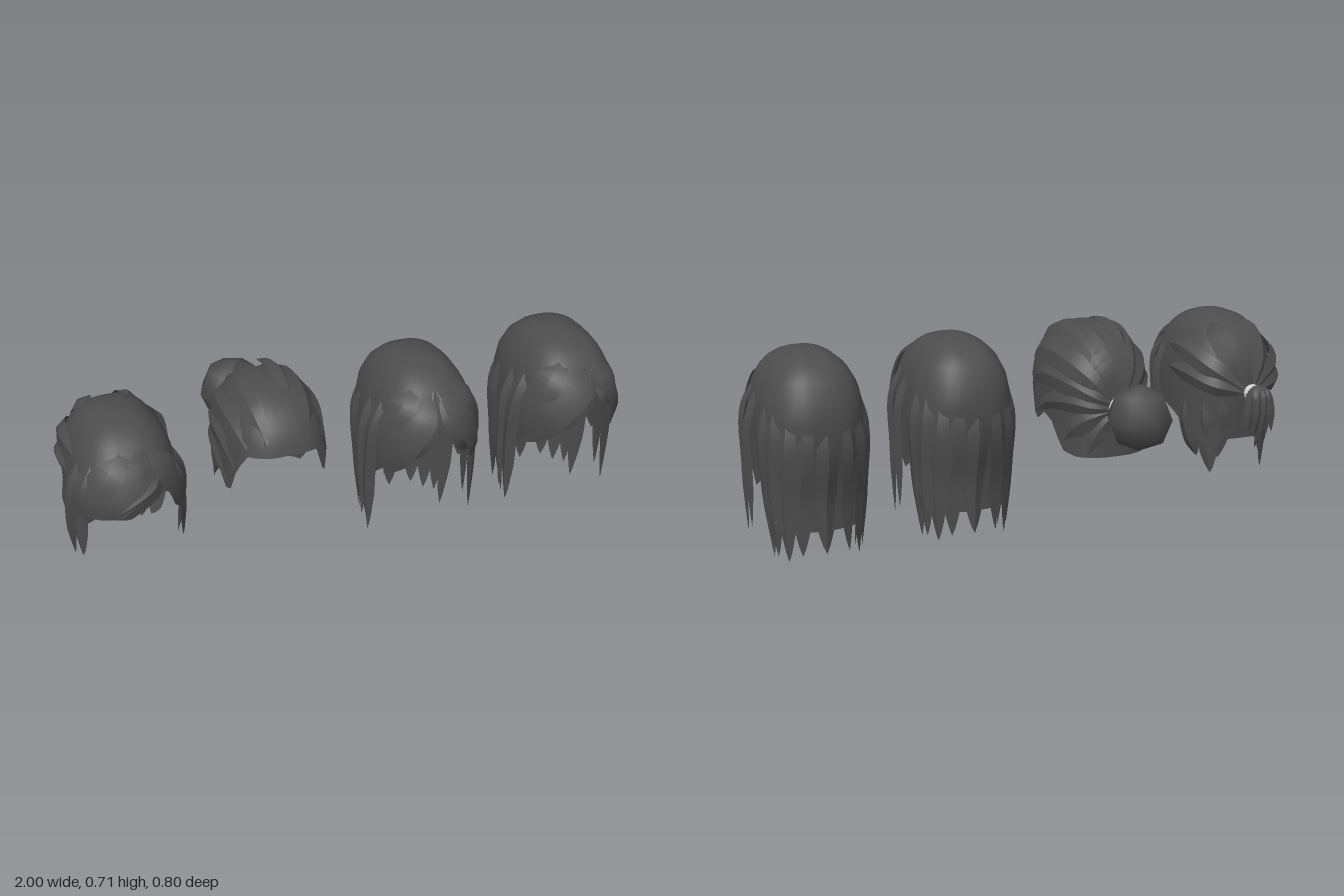
import * as THREE from 'three';
import { mergeVertices, toCreasedNormals } from 'three/addons/utils/BufferGeometryUtils.js';

const hair = new THREE.MeshStandardMaterial({ color: 0x4c4c4c, side: THREE.DoubleSide });
const band = new THREE.MeshStandardMaterial({ color: 0xcccccc });
const CY = 0.46, RY = 0.245, CZ = 0.12, E = 0.87;
const pw = (v, e) => Math.sign(v) * Math.pow(Math.abs(v), e);

// Arc parameter from the crown (0) past the widest ring (PI/2) down the hanging hair
const arcOf = (y) => (y >= CY
  ? Math.acos(Math.min(1, Math.pow((y - CY) / RY, 1 / E)))
  : Math.PI / 2 + (CY - y) / RY);

// Point on the head: angle in degrees from the front towards +x
function surf(head, deg, k, off = 0) {
  const t = deg * Math.PI / 180, c = Math.cos(t), s = Math.sin(t);
  const up = k < Math.PI / 2, drop = up ? 0 : k - Math.PI / 2;
  const r = up ? Math.pow(Math.max(0, Math.sin(k)), E) : 1;
  const y = up ? CY + RY * Math.pow(Math.max(0, Math.cos(k)), E) : CY - RY * drop;
  const tuck = c > 0 ? 1 - 0.4 * Math.min(0.7, drop) * c : 1 + head.tuck * Math.min(1, drop) * c;
  const p = new THREE.Vector3(
    head.rx * pw(s, 0.77) * r, y,
    CZ + (c > 0 ? head.front : head.back) * pw(c, 0.77) * r * tuck);
  return p.addScaledVector(outward(p), off);
}

function outward(p) {
  return new THREE.Vector3(p.x / 0.034, Math.max(0, p.y - CY) / 0.058, (p.z - CZ) / 0.065 + 1e-5).normalize();
}

function build(pos, idx) {
  const g = new THREE.BufferGeometry();
  g.setAttribute('position', new THREE.Float32BufferAttribute(pos, 3));
  g.setIndex(idx);
  return g;
}

function add(group, name, geo, mat = hair) {
  const m = new THREE.Mesh(geo, mat);
  m.name = name;
  group.add(m);
  return m;
}

// Scalp shell whose lower edge follows hem points [angle, height], mirrored left to right
function cap(head, hem) {
  const pos = [], idx = [], N = 40, M = 10;
  for (let i = 0; i < N; i++) {
    const deg = i * 360 / N, a = deg > 180 ? 360 - deg : deg;
    let j = 1;
    while (j < hem.length - 1 && hem[j][0] < a) j++;
    const [a0, y0] = hem[j - 1], [a1, y1] = hem[j];
    const end = arcOf(y0 + (y1 - y0) * (a - a0) / (a1 - a0));
    for (let r = 0; r <= M; r++) {
      pos.push(...surf(head, deg, end * r / M).toArray());
      if (r === M) continue;
      const p = i * (M + 1) + r, q = ((i + 1) % N) * (M + 1) + r;
      if (r) idx.push(p, p + 1, q);
      idx.push(p + 1, q + 1, q);
    }
  }
  const g = mergeVertices(build(pos, idx), 1e-4);
  g.computeVertexNormals();
  return g;
}

// Flat lock with a raised ridge along a path, narrow at the root and pointed at the tip
function ribbon(points, width, thick, normalAt = outward) {
  const curve = new THREE.CatmullRomCurve3(points), n = 18, pos = [], idx = [];
  for (let i = 0; i <= n; i++) {
    const s = i / n, p = curve.getPoint(s), T = curve.getTangent(s), N = normalAt(p);
    const S = T.clone().cross(N).normalize();
    N.crossVectors(S, T).normalize();
    const f = Math.max(0.01, Math.min(1, 0.15 + s * 2.6, Math.pow((1 - s) / 0.24, 0.75)));
    const w = width * f, h = thick * f;
    for (const [u, v] of [[-w, -h], [0, h], [w, -h], [0, -h * 0.6]])
      pos.push(...p.clone().addScaledVector(S, -u).addScaledVector(N, v).toArray());
    if (i < n) for (let j = 0; j < 4; j++) {
      const a = i * 4 + (3 - j), b = i * 4 + (3 - (j + 1) % 4);
      idx.push(a, b, b + 4, a, b + 4, a + 4);
    }
  }
  return toCreasedNormals(build(pos, idx), 0.6);
}

// Locks given as [half width, [angle, height, lift], ...], rooted at the scalp; both = true mirrors them
function locks(group, name, head, list, both = true) {
  for (const side of both ? [1, -1] : [1])
    for (const [w, ...path] of list)
      add(group, name, ribbon(path.map(([d, y, o], i) => surf(head, d * side, arcOf(y), o ?? (i ? 0.009 : -0.004))), w, 0.008));
}

function wig(name, x) {
  const g = new THREE.Group();
  g.name = name;
  g.position.x = x;
  return g;
}

// Long loose hair, shared by two of the styles
function longHair(name, x) {
  const g = wig(name, x), head = { rx: 0.18, front: 0.25, back: 0.245, tuck: 0.2 };
  add(g, 'scalp', cap(head, [[0, 0.6], [20, 0.52], [45, 0.47], [65, 0.4], [80, 0.3], [90, 0.24],
    [96, 0.3], [108, 0.2], [126, 0.12], [180, 0.11]]));
  locks(g, 'sideLock', head, [
    [0.037, [66, 0.67], [74, 0.5, 0.018], [77, 0.3, 0.024], [78, 0.06, 0.018]],
    [0.034, [88, 0.66], [88, 0.48, 0.018], [88, 0.3, 0.022], [88, 0.09, 0.016]],
    [0.042, [112, 0.64], [106, 0.45, 0.01], [103, 0.25, -0.005], [101, 0.0, -0.035]],
  ]);
  locks(g, 'backLock', head, [
    [0.042, [126, 0.64], [122, 0.45, 0.006], [120, 0.25, 0.002], [120, 0.02, -0.015]],
    [0.038, [142, 0.64], [141, 0.42, 0.008], [140, 0.2, 0.004], [140, 0.01, -0.006]],
    [0.036, [160, 0.66], [160, 0.42, 0.005], [159, 0.2, 0.004], [159, 0.03, 0]],
  ]);
  locks(g, 'backCentreLock', head, [[0.038, [180, 0.64], [180, 0.4, 0.008], [180, 0.2, 0.006], [180, 0.03, 0]]], false);
  return { g, head };
}

function curtainStyle() {
  const { g, head } = longHair('longHairCurtainFringe', 0.25);
  locks(g, 'fringeLock', head, [
    [0.06, [3, 0.67], [18, 0.57, 0.014], [38, 0.47, 0.016], [56, 0.33, 0.012]],
    [0.055, [15, 0.69], [40, 0.6], [58, 0.48, 0.012], [69, 0.32, 0.01]],
    [0.04, [1, 0.64, 0], [8, 0.56], [18, 0.49], [34, 0.4, 0.005]],
  ]);
  return g;
}

function sideStyle() {
  const { g, head } = longHair('longHairSideFringe', 0.785);
  locks(g, 'sweptFringeLock', head, [
    [0.065, [14, 0.66], [-6, 0.57, 0.014], [-32, 0.48, 0.016], [-55, 0.34, 0.012]],
    [0.055, [0, 0.69], [-35, 0.6], [-56, 0.48, 0.012], [-68, 0.32, 0.01]],
    [0.045, [12, 0.62, 0], [0, 0.54], [-14, 0.48], [-34, 0.4, 0.005]],
    [0.055, [14, 0.67], [28, 0.58, 0.014], [46, 0.48, 0.016], [60, 0.33, 0.012]],
    [0.025, [10, 0.57], [20, 0.53], [30, 0.51], [42, 0.49]],
  ], false);
  return g;
}

// Half-up hair with a short tied tail
function halfUpStyle() {
  const g = wig('halfUpHair', -0.8), head = { rx: 0.178, front: 0.245, back: 0.245, tuck: 0.12 };
  add(g, 'scalp', cap(head, [[0, 0.53], [25, 0.5], [50, 0.44], [70, 0.38], [95, 0.34], [115, 0.26],
    [130, 0.26], [145, 0.22], [160, 0.26], [180, 0.26]]));
  locks(g, 'frontStrand', head, [
    [0.045, [40, 0.66], [54, 0.52, 0.014], [62, 0.4, 0.018], [56, 0.25, 0.018]],
    [0.036, [62, 0.66], [74, 0.5, 0.016], [80, 0.35, 0.02], [84, 0.2, 0]],
  ]);
  locks(g, 'napeStrand', head, [
    [0.035, [108, 0.42], [108, 0.33, 0], [112, 0.25, -0.015], [118, 0.18, -0.04]],
    [0.036, [132, 0.42], [136, 0.33, 0], [140, 0.24, -0.01], [146, 0.13, -0.01]],
    [0.032, [158, 0.42], [158, 0.36, 0.004], [158, 0.3, 0], [156, 0.19, 0]],
  ]);
  locks(g, 'tiedBackLock', head, [
    [0.04, [72, 0.58], [105, 0.58, 0.012], [142, 0.53, 0.022], [178, 0.45, 0.035]],
    [0.035, [80, 0.5], [112, 0.5, 0.014], [145, 0.47, 0.024], [178, 0.44, 0.035]],
    [0.04, [120, 0.695, -0.01], [148, 0.65, 0.008], [165, 0.56, 0.016], [178, 0.46, 0.03]],
  ]);
  locks(g, 'sweptFringeLock', head, [
    [0.06, [22, 0.67], [5, 0.58, 0.014], [-15, 0.51, 0.016], [-38, 0.43, 0.018]],
    [0.055, [8, 0.68], [-22, 0.59], [-45, 0.5, 0.014], [-60, 0.37, 0.015]],
    [0.055, [20, 0.67], [32, 0.58], [46, 0.49, 0.014], [60, 0.37, 0.015]],
    [0.04, [24, 0.58], [12, 0.53, 0.016], [-6, 0.48, 0.02], [-22, 0.44, 0.018]],
  ], false);
  const tie = add(g, 'hairTie', new THREE.TorusGeometry(0.02, 0.012, 8, 14), band);
  tie.position.set(0, 0.445, -0.165);
  // Tail: rounded bunch with fanned tips
  const bunch = add(g, 'tailBunch', new THREE.SphereGeometry(0.05, 8, 6));
  bunch.scale.set(1, 1.1, 0.8);
  bunch.position.set(0, 0.43, -0.215);
  for (let i = -2; i <= 2; i++) {
    const f = i / 2, back = 0.02 * (1 - f * f);
    add(g, 'tailStrand', ribbon([
      new THREE.Vector3(0, 0.45, -0.17), new THREE.Vector3(f * 0.03, 0.46, -0.22 - back),
      new THREE.Vector3(f * 0.045, 0.4, -0.232 - back), new THREE.Vector3(f * 0.05, 0.28 + 0.03 * Math.abs(f), -0.225),
    ], 0.022, 0.01, () => new THREE.Vector3(f * 0.6, 0.2, -1).normalize()));
  }
  return g;
}

// Hair combed back into a large round bun
function bunStyle() {
  const g = wig('bunHair', -0.28), head = { rx: 0.174, front: 0.242, back: 0.245, tuck: 0.04 };
  add(g, 'scalp', cap(head, [[0, 0.54], [45, 0.53], [60, 0.47], [72, 0.36], [80, 0.34], [92, 0.39],
    [102, 0.35], [114, 0.27], [135, 0.255], [180, 0.255]]));
  locks(g, 'combedLock', head, [
    [0.05, [22, 0.58, 0.002], [48, 0.66, 0.006], [120, 0.67, 0.006], [165, 0.57, 0.008], [179, 0.45, 0.012]],
    [0.05, [48, 0.55, 0.002], [75, 0.6, 0.006], [120, 0.59, 0.006], [155, 0.53, 0.008], [179, 0.44, 0.012]],
    [0.045, [66, 0.46, 0.002], [88, 0.52, 0.006], [120, 0.52, 0.006], [155, 0.48, 0.008], [179, 0.44, 0.012]],
    [0.04, [76, 0.37, 0], [96, 0.43, 0.005], [125, 0.45, 0.006], [155, 0.44, 0.008], [179, 0.43, 0.012]],
    [0.04, [118, 0.31, 0], [132, 0.36, 0.005], [152, 0.4, 0.006], [179, 0.43, 0.012]],
    [0.035, [150, 0.27, 0.002], [158, 0.33, 0.006], [168, 0.38, 0.008], [180, 0.43, 0.012]],
  ]);
  // Raised locks from the parting, with loose ends behind the crown
  for (const s of [1, -1])
    add(g, 'crownLock', ribbon([[0.015, 0.6, 0.32], [0.045, 0.685, 0.2], [0.055, 0.705, 0.1], [0.05, 0.692, 0], [0.035, 0.655, -0.095]]
      .map(([x, y, z]) => new THREE.Vector3(x * s, y, z)), 0.035, 0.008));
  const tie = add(g, 'hairTie', new THREE.SphereGeometry(0.055, 14, 10), band);
  tie.scale.z = 0.5;
  tie.position.set(0, 0.437, -0.158);
  const bun = add(g, 'bun', new THREE.SphereGeometry(0.118, 8, 4));
  bun.position.set(0, 0.437, -0.284);
  return g;
}

export function createModel() {
  const model = new THREE.Group();
  model.name = 'hairstyles';
  model.add(halfUpStyle(), bunStyle(), curtainStyle(), sideStyle());
  return model;
}
